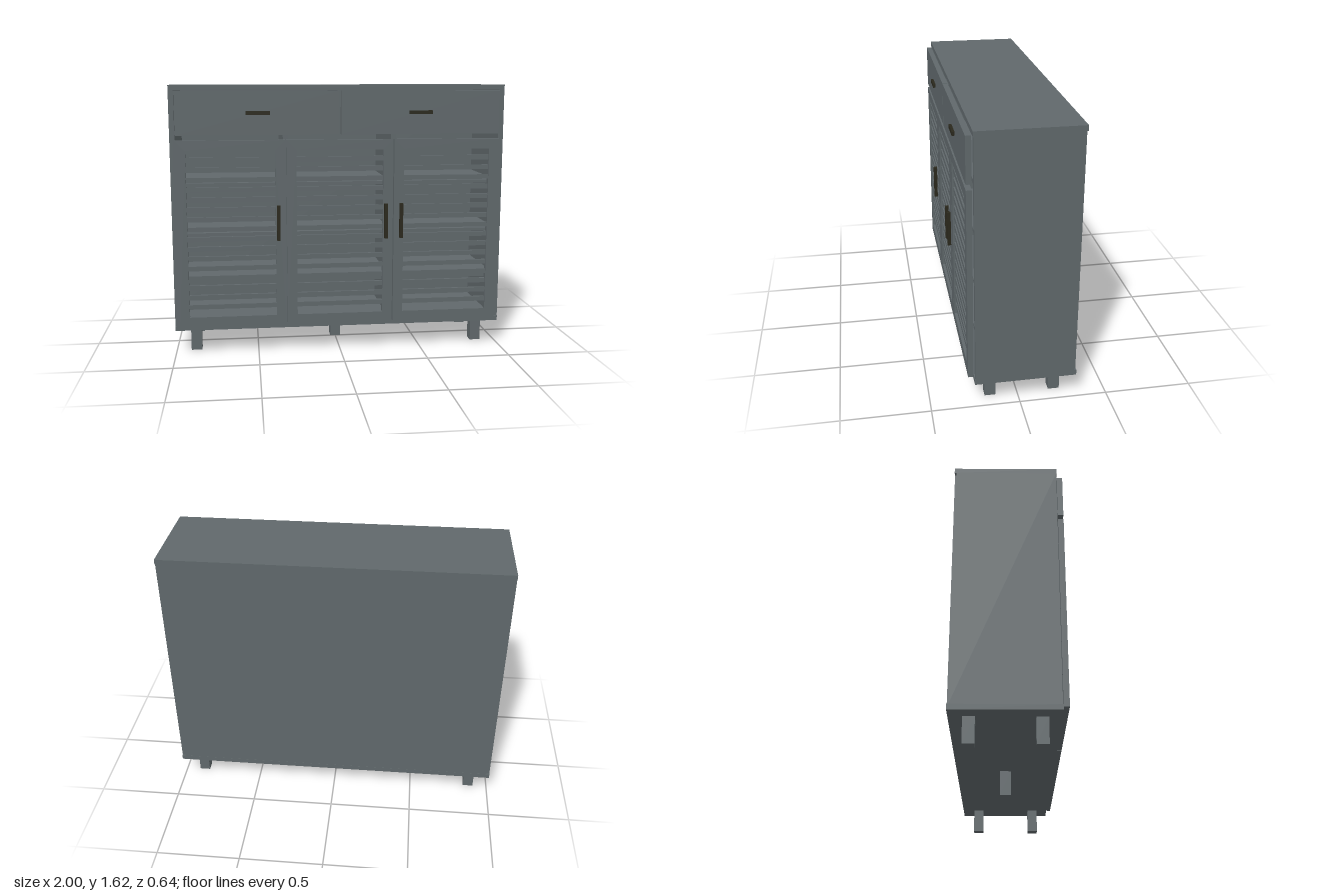
import * as THREE from 'three';

const bodyMat = new THREE.MeshStandardMaterial({ color: 0x60686b });
bodyMat.name = 'slate grey paint';
const handleMat = new THREE.MeshStandardMaterial({ color: 0x2a281c });
handleMat.name = 'dark bronze';

// Box given by its limits on each axis
function box(parent, name, [x0, x1], [y0, y1], [z0, z1], mat = bodyMat) {
  const mesh = new THREE.Mesh(new THREE.BoxGeometry(x1 - x0, y1 - y0, z1 - z0), mat);
  mesh.position.set((x0 + x1) / 2, (y0 + y1) / 2, (z0 + z1) / 2);
  mesh.name = name;
  parent.add(mesh);
  return mesh;
}

// Door: frame with an opening, filled by horizontal slats
function louverDoor(x0, x1, handleX) {
  const door = new THREE.Group();
  door.name = 'louverDoor';
  const y0 = 0.175, y1 = 1.295, border = 0.06;
  const a = x0 + border, b = x1 - border, c = y0 + border, d = y1 - border;
  const shape = new THREE.Shape([[x0, y0], [x1, y0], [x1, y1], [x0, y1]].map(p => new THREE.Vector2(...p)));
  shape.holes.push(new THREE.Path([[a, c], [a, d], [b, d], [b, c]].map(p => new THREE.Vector2(...p))));
  const frame = new THREE.Mesh(new THREE.ExtrudeGeometry(shape, { depth: 0.031, bevelEnabled: false }), bodyMat);
  frame.position.z = 0.257;
  frame.name = 'doorFrame';
  door.add(frame);
  for (let i = 0; i < 16; i++) {
    const y = 0.296 + i * 0.059;
    box(door, 'slat', [a, b], [y - 0.014, y + 0.014], [0.264, 0.28]);
  }
  box(door, 'doorHandle', [handleX - 0.01, handleX + 0.01], [0.7, 0.91], [0.299, 0.32], handleMat);
  return door;
}

export function createModel() {
  const cabinet = new THREE.Group();
  cabinet.name = 'cabinet';

  // Carcass
  box(cabinet, 'top', [-1, 1], [1.585, 1.615], [-0.32, 0.255]);
  box(cabinet, 'bottom', [-1, 1], [0.145, 0.175], [-0.32, 0.255]);
  box(cabinet, 'back', [-0.98, 0.98], [0.175, 1.585], [-0.319, -0.31]);
  for (const s of [-1, 1]) {
    const outer = [s, s * 0.97].sort((p, q) => p - q);
    box(cabinet, 'side', outer, [0.175, 1.585], [-0.31, 0.252]);
    box(cabinet, 'divider', [s * 0.325 - 0.015, s * 0.325 + 0.015], [0.175, 1.325], [-0.31, 0.25]);
  }
  box(cabinet, 'drawerFloor', [-0.97, 0.97], [1.325, 1.35], [-0.31, 0.25]);
  box(cabinet, 'drawerDivider', [-0.015, 0.015], [1.35, 1.585], [-0.31, 0.25]);

  // Shelves in the three bays
  for (const y of [0.44, 0.73, 1.03]) {
    for (const [x0, x1] of [[-0.97, -0.34], [-0.31, 0.31], [0.34, 0.97]]) {
      box(cabinet, 'shelf', [x0, x1], [y - 0.01, y + 0.01], [-0.31, 0.24]);
    }
  }

  // Drawers
  for (const [x0, x1, hx] of [[-0.965, -0.008, -0.485], [0.004, 0.961, 0.48]]) {
    box(cabinet, 'drawerFront', [x0, x1], [1.325, 1.582], [0.257, 0.288]);
    box(cabinet, 'drawerHandle', [hx - 0.07, hx + 0.07], [1.443, 1.465], [0.287, 0.304], handleMat);
  }

  // Doors
  cabinet.add(louverDoor(-0.97, -0.328, -0.372));
  cabinet.add(louverDoor(-0.322, 0.318, 0.273));
  cabinet.add(louverDoor(0.324, 0.965, 0.366));

  // Legs: four corners and one in the middle
  for (const [x, z] of [[-0.88, 0.156], [0.88, 0.156], [-0.88, -0.214], [0.88, -0.214], [0, -0.029]]) {
    box(cabinet, 'leg', [x - 0.032, x + 0.032], [0, 0.145], [z - 0.032, z + 0.032]);
  }
  return cabinet;
}
